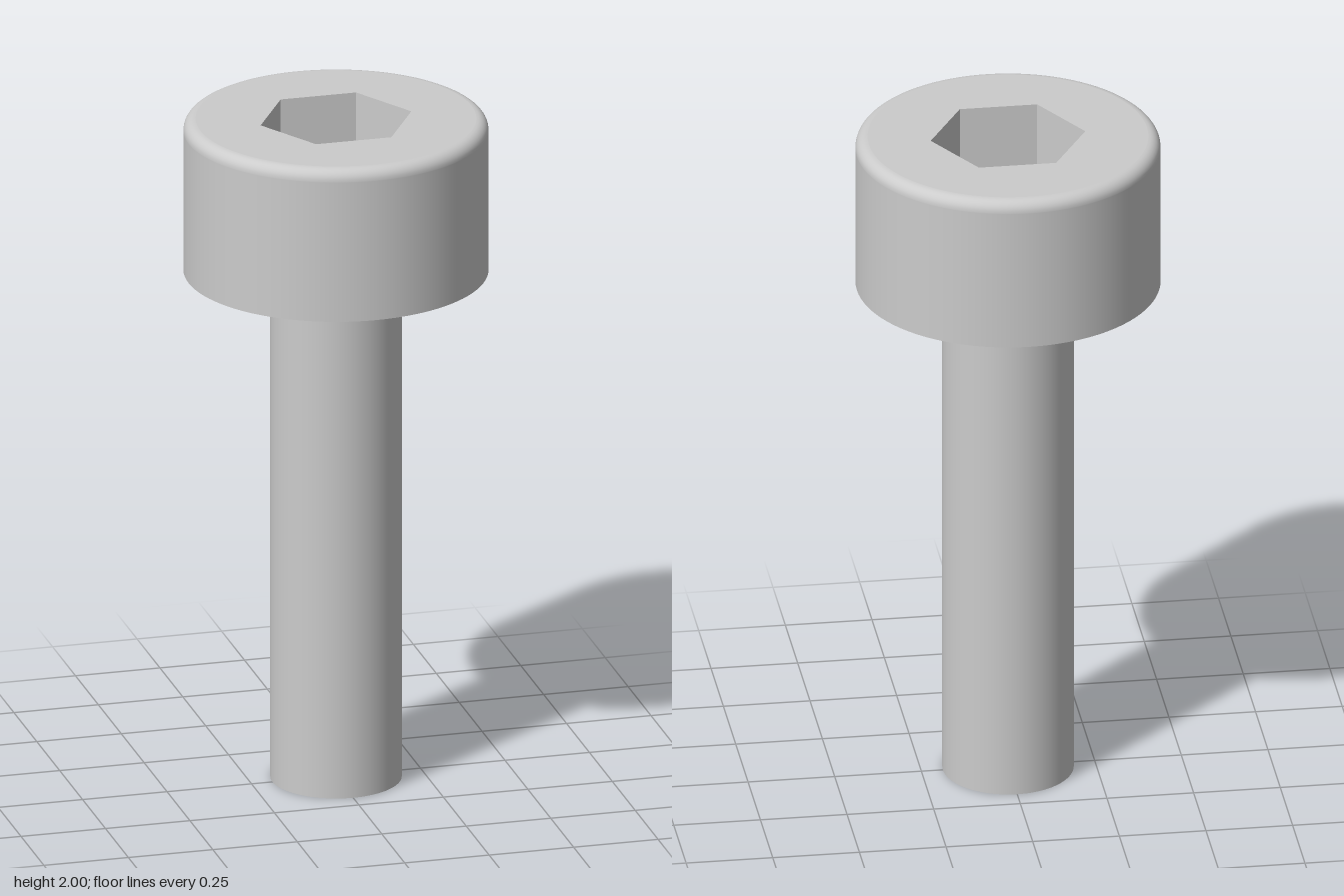
import * as THREE from 'three';

const SEG = 96;
const TOP = 2, HEAD_BASE = 1.54, HEAD_R = 0.436, FILLET = 0.035;
const SHANK_R = 0.188, HEX_R = 0.223, HEX_DEPTH = 0.23;

export function createModel() {
  const model = new THREE.Group();
  model.name = 'socketHeadScrew';
  const smooth = new THREE.MeshStandardMaterial({ color: 0xcccccc });
  const flat = new THREE.MeshStandardMaterial({ color: 0xcccccc, flatShading: true });

  const add = (parent, name, geometry, material = smooth) => {
    const mesh = new THREE.Mesh(geometry, material);
    mesh.name = name;
    parent.add(mesh);
    return mesh;
  };

  // Plain cylindrical shank, with its top face hidden against the head
  const shank = new THREE.Group();
  shank.name = 'shank';
  model.add(shank);
  add(shank, 'shankSide', new THREE.CylinderGeometry(SHANK_R, SHANK_R, HEAD_BASE, SEG, 1, true)
    .translate(0, HEAD_BASE / 2, 0));
  add(shank, 'shankEnd', new THREE.CircleGeometry(SHANK_R, SEG).rotateX(Math.PI / 2));

  // Head wall running into a rounded top edge
  const head = new THREE.Group();
  head.name = 'head';
  model.add(head);
  const profile = [
    new THREE.Vector2(HEAD_R, HEAD_BASE),
    new THREE.Vector2(HEAD_R, TOP - FILLET - 0.002),
  ];
  for (let i = 0; i <= 8; i++) {
    const a = (i / 8) * Math.PI / 2;
    profile.push(new THREE.Vector2(
      HEAD_R - FILLET + FILLET * Math.cos(a),
      TOP - FILLET + FILLET * Math.sin(a)));
  }
  add(head, 'headSide', new THREE.LatheGeometry(profile, SEG));

  // Flat bearing face under the head
  add(head, 'headUnderside', new THREE.RingGeometry(SHANK_R, HEAD_R, SEG)
    .rotateX(Math.PI / 2).translate(0, HEAD_BASE, 0));

  // Top face pierced by the hexagon
  const face = new THREE.Shape().absarc(0, 0, HEAD_R - FILLET, 0, Math.PI * 2, false);
  const hexPoints = Array.from({ length: 6 }, (_, i) => {
    const a = -i * Math.PI / 3;
    return new THREE.Vector2(HEX_R * Math.cos(a), HEX_R * Math.sin(a));
  });
  face.holes.push(new THREE.Path(hexPoints).closePath());
  add(head, 'headTop', new THREE.ShapeGeometry(face, SEG)
    .rotateX(-Math.PI / 2).translate(0, TOP, 0));

  // Hexagonal socket: mirrored so its walls face inward, plus a flat floor
  const socket = new THREE.Group();
  socket.name = 'hexSocket';
  head.add(socket);
  const walls = new THREE.CylinderGeometry(HEX_R, HEX_R, HEX_DEPTH, 6, 1, true, Math.PI / 6)
    .scale(-1, 1, 1).toNonIndexed();
  walls.computeVertexNormals();
  add(socket, 'socketWalls', walls.translate(0, TOP - HEX_DEPTH / 2, 0), flat);
  add(socket, 'socketFloor', new THREE.CircleGeometry(HEX_R, 6)
    .rotateX(-Math.PI / 2).translate(0, TOP - HEX_DEPTH, 0), flat);

  return model;
}
